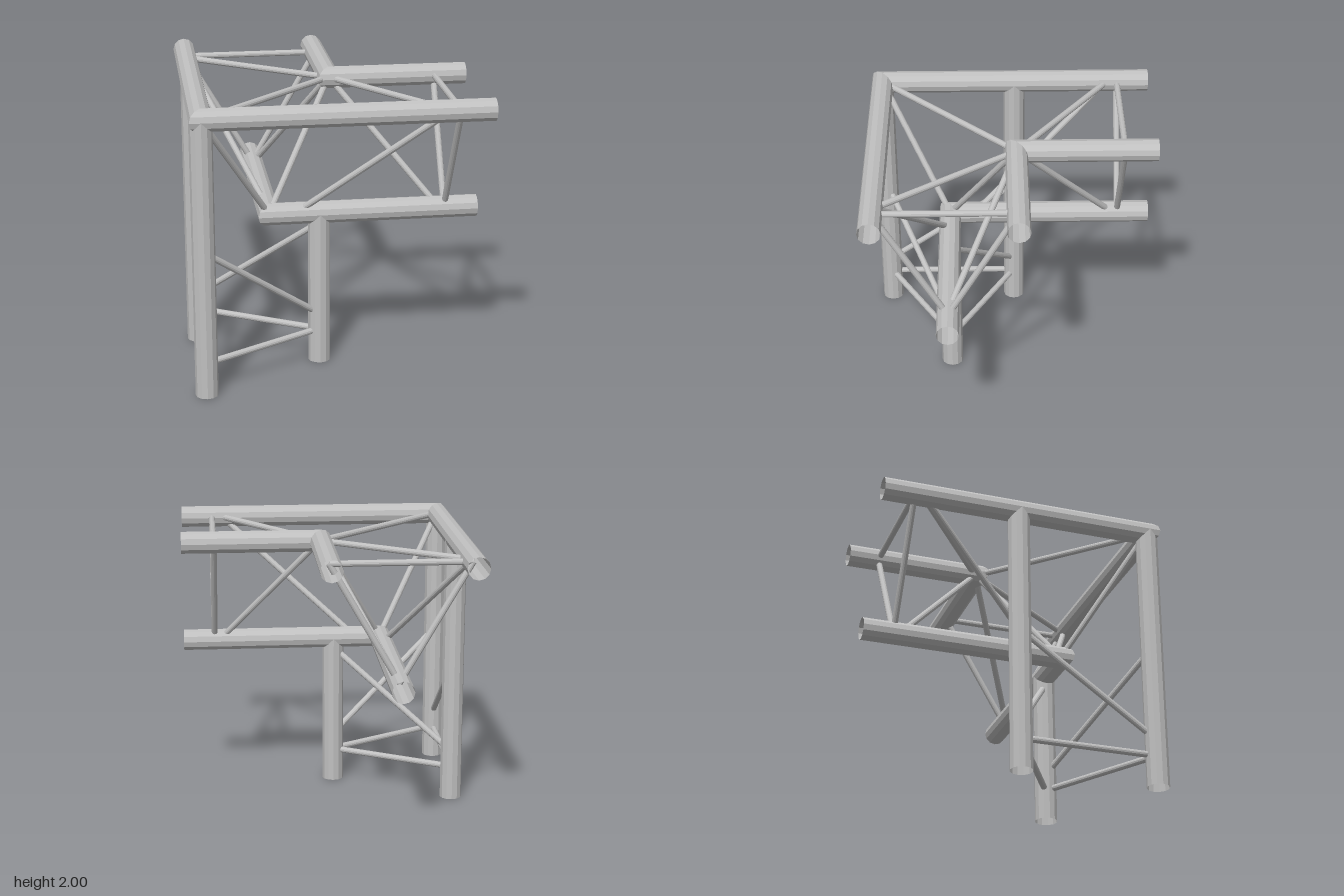
import * as THREE from 'three';

const TUBE_R = 0.0775, STRUT_R = 0.022;
const OUT = 0.9225;  // outer corner offset in x and z
const INN = 0.031;   // inner corner offset
const MID = 0.443;   // offset of the lower chords
const TOP = 1.9225, LOW = 1.098; // chord heights

const V = (x, y, z) => new THREE.Vector3(x, y, z);
// swaps the two horizontal arms (+x arm <-> -z arm)
const swap = (p) => V(-p.z, p.y, -p.x);

export function createModel() {
  const model = new THREE.Group();
  // tubes are open at the ends, so their insides show too
  const metal = new THREE.MeshStandardMaterial({
    color: 0xc0c0c0, flatShading: true, side: THREE.DoubleSide,
  });
  metal.name = 'aluminium grey';

  // open round tube between two points
  function rod(name, a, b, radius, parent) {
    const dir = b.clone().sub(a);
    const geo = new THREE.CylinderGeometry(radius, radius, dir.length(), 12, 1, true);
    const mesh = new THREE.Mesh(geo, metal);
    mesh.quaternion.setFromUnitVectors(V(0, 1, 0), dir.normalize());
    mesh.position.copy(a).add(b).multiplyScalar(0.5);
    mesh.name = name;
    parent.add(mesh);
  }
  const strut = (name, a, b, parent) => rod(name, a, b, STRUT_R, parent);

  // horizontal chord from a corner to the arm end, mitred at 45 degrees
  function chord(name, corner, alongX, parent) {
    const len = alongX ? 1 - corner.x : 1 + corner.z;
    const geo = new THREE.CylinderGeometry(TUBE_R, TUBE_R, len, 12, 1, true);
    geo.translate(0, len / 2, 0);
    if (alongX) geo.rotateZ(-Math.PI / 2); else geo.rotateX(-Math.PI / 2);
    const p = geo.attributes.position;
    for (let i = 0; i < p.count; i++) {
      if (alongX && p.getX(i) < 0.01) p.setX(i, -p.getZ(i));
      if (!alongX && p.getZ(i) > -0.01) p.setZ(i, -p.getX(i));
    }
    geo.computeVertexNormals();
    const mesh = new THREE.Mesh(geo, metal);
    mesh.position.copy(corner);
    mesh.name = name;
    parent.add(mesh);
  }

  // corner points where the two arms meet
  const outer = V(-OUT, TOP, OUT);
  const inner = V(INN, TOP, -INN);
  const lower = V(-MID, LOW, MID);

  // two horizontal arms
  for (const alongX of [true, false]) {
    const arm = new THREE.Group();
    arm.name = alongX ? 'leftArm' : 'backArm';
    model.add(arm);
    chord('outerChord', outer, alongX, arm);
    chord('innerChord', inner, alongX, arm);
    chord('lowerChord', lower, alongX, arm);

    const place = (p) => (alongX ? p : swap(p));
    const onOuter = (t) => place(V(t, TOP, OUT));
    const onInner = (t) => place(V(t, TOP, -INN));
    const onLower = (t) => place(V(t, LOW, MID));
    // triangle of braces near the open end
    const e = 0.775;
    strut('endBraceTop', onOuter(e), onInner(e), arm);
    strut('endBraceInner', onInner(e), onLower(e), arm);
    strut('endBraceOuter', onLower(e), onOuter(e), arm);
    // one diagonal on each face
    strut('diagonalTop', onInner(0.035), onOuter(0.72), arm);
    strut('diagonalInner', onInner(0.035), onLower(0.735), arm);
    strut('diagonalOuter', onLower(-0.26), onOuter(0.705), arm);
  }

  // triangle of braces across the corner
  const corner = new THREE.Group();
  corner.name = 'cornerBraces';
  model.add(corner);
  strut('cornerBraceTop', outer, inner, corner);
  strut('cornerBraceOuter', outer, lower, corner);
  strut('cornerBraceInner', lower, inner, corner);

  // vertical leg section
  const leg = new THREE.Group();
  leg.name = 'leg';
  model.add(leg);
  const onCorner = (y) => V(-OUT, y, OUT);
  const onBack = (y) => V(-OUT, y, -INN);
  const onSide = (y) => V(-0.097, y, MID);
  rod('cornerPost', onCorner(0), onCorner(TOP), TUBE_R, leg);
  rod('backPost', onBack(0), onBack(TOP), TUBE_R, leg);
  rod('sidePost', onSide(0), onSide(LOW), TUBE_R, leg);

  const posts = [onCorner, onSide, onBack];
  posts.forEach((from, i) => {
    const to = posts[(i + 1) % 3];
    strut('legBrace' + (i + 1), from(0.228), to(0.228), leg);
  });
  strut('legDiagonalFront', onCorner(1.02), onSide(0.345), leg);
  strut('legDiagonalSide', onSide(1.02), onBack(0.345), leg);
  strut('legDiagonalBack', onBack(1.02), onCorner(0.345), leg);

  return model;
}
